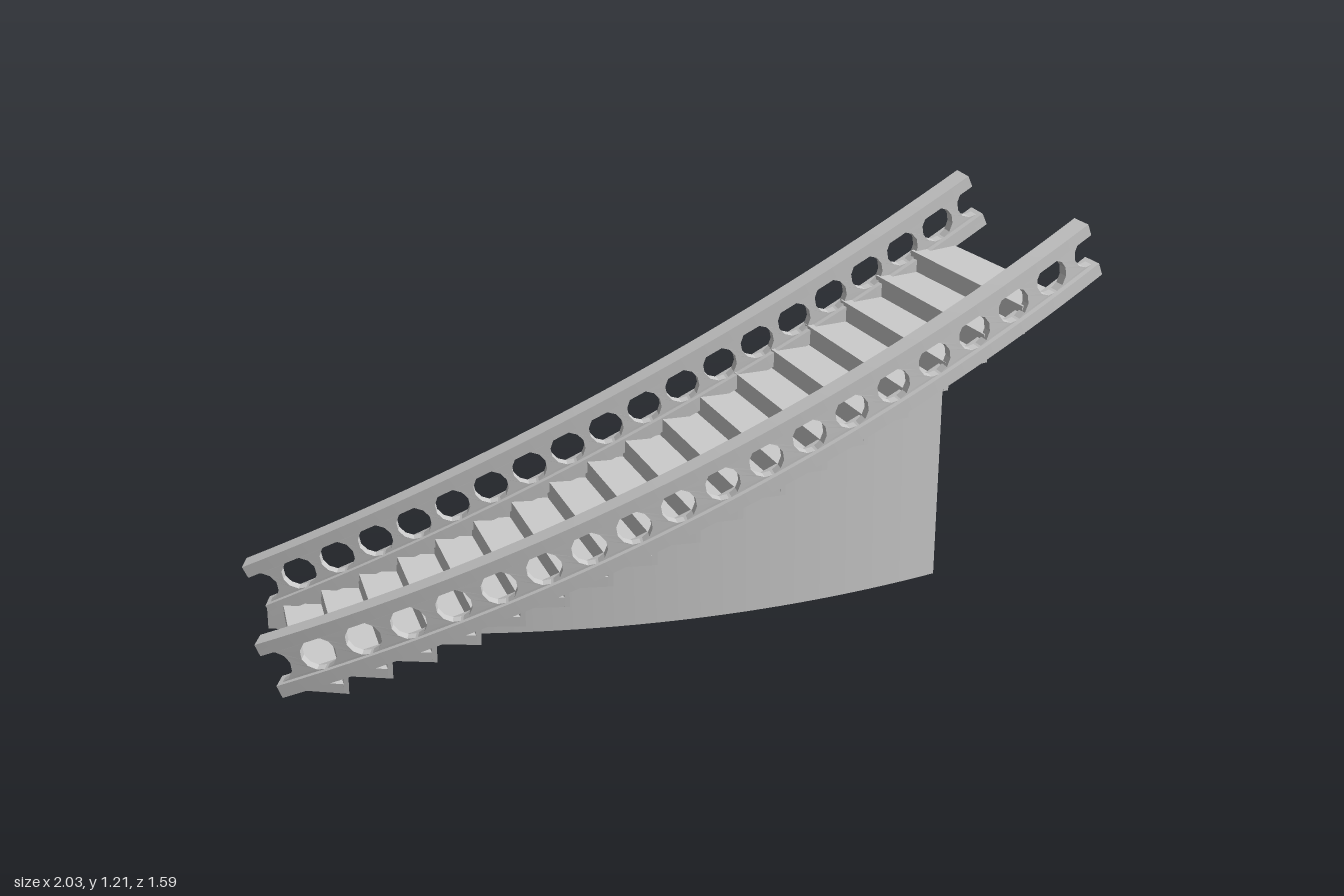
import * as THREE from 'three';
import { toCreasedNormals } from 'three/addons/utils/BufferGeometryUtils.js';

const V = (x, y, z) => new THREE.Vector3(x, y, z);
const STEPS = 18, T0 = 0.03, T1 = 0.96;
const material = new THREE.MeshStandardMaterial({ color: 0xcccccc, side: THREE.DoubleSide });

// Centre lines of the two balustrades
const inner = new THREE.QuadraticBezierCurve3(V(-0.98, 0.15, 0.42), V(-0.005, 0.66, 0.087), V(0.588, 1.13, -0.755));
const outer = new THREE.QuadraticBezierCurve3(V(-0.73, 0.15, 0.755), V(0.4, 0.66, 0.445), V(0.972, 1.13, -0.565));

// Point at t, shifted by v square to the slope and by w sideways (+w toward the outer side)
function along(curve, t, v, w) {
  const tangent = curve.getTangent(t);
  const side = V(-tangent.z, 0, tangent.x).normalize();
  const up = side.clone().cross(tangent).normalize();
  return curve.getPoint(t).addScaledVector(up, v).addScaledVector(side, w);
}

// Skin a four-cornered ring(t) between two values of t and cap both ends
function loft(ring, t0, t1, n) {
  const pos = [], index = [];
  for (let i = 0; i <= n; i++) {
    for (const p of ring(t0 + (t1 - t0) * i / n)) pos.push(p.x, p.y, p.z);
  }
  for (let i = 0; i < n; i++) {
    for (let j = 0; j < 4; j++) {
      const a = i * 4 + j, b = i * 4 + (j + 1) % 4;
      index.push(a, b, a + 4, b, b + 4, a + 4);
    }
  }
  const e = n * 4;
  index.push(0, 2, 1, 0, 3, 2, e, e + 1, e + 2, e, e + 2, e + 3);
  const geo = new THREE.BufferGeometry();
  geo.setAttribute('position', new THREE.Float32BufferAttribute(pos, 3));
  geo.setIndex(index);
  return toCreasedNormals(geo, 0.5);
}

function add(parent, name, geo) {
  const mesh = new THREE.Mesh(geo, material);
  mesh.name = name;
  parent.add(mesh);
}

// Straight-sided beam following a curve
function beam(curve, v0, v1, halfWidth) {
  return loft(t => [
    along(curve, t, v0, -halfWidth), along(curve, t, v0, halfWidth),
    along(curve, t, v1, halfWidth), along(curve, t, v1, -halfWidth),
  ], 0, 1, 36);
}

// Waisted baluster: round bites on both sides form the row of holes
function baluster(curve, t, pitch) {
  const length = curve.getLength(), half = pitch * length / 2, r = 0.047, h = 0.055;
  const shape = new THREE.Shape();
  shape.moveTo(-half, -h);
  shape.lineTo(half, -h);
  for (let i = 0; i <= 6; i++) {
    const a = -Math.PI / 2 + Math.PI * i / 6;
    shape.lineTo(half - r * Math.cos(a), r * Math.sin(a));
  }
  shape.lineTo(half, h);
  shape.lineTo(-half, h);
  for (let i = 0; i <= 6; i++) {
    const a = Math.PI / 2 - Math.PI * i / 6;
    shape.lineTo(-half + r * Math.cos(a), r * Math.sin(a));
  }
  const geo = new THREE.ExtrudeGeometry(shape, { depth: 0.024, bevelEnabled: false });
  const p = geo.attributes.position;
  for (let i = 0; i < p.count; i++) {
    const q = along(curve, t + p.getX(i) / length, p.getY(i), p.getZ(i) - 0.012);
    p.setXYZ(i, q.x, q.y, q.z);
  }
  geo.computeVertexNormals();
  return geo;
}

function balustrade(name, curve) {
  const group = new THREE.Group();
  group.name = name;
  add(group, 'handrail', beam(curve, 0.048, 0.083, 0.026));
  add(group, 'bottomRail', beam(curve, -0.083, -0.046, 0.026));
  const pitch = 0.94 / STEPS;
  for (let i = 0; i <= STEPS; i++) add(group, 'baluster', baluster(curve, 0.03 + i * pitch, pitch));
  return group;
}

// Slab reaching from the inner to the outer side, between two heights
function slab(ta, tb, y0, y1) {
  return loft(t => {
    const a = inner.getPoint(t), b = outer.getPoint(t);
    return [V(a.x, y0, a.z), V(b.x, y0, b.z), V(b.x, y1, b.z), V(a.x, y1, a.z)];
  }, ta, tb, 1);
}

export function createModel() {
  const model = new THREE.Group();
  model.name = 'curvedStaircase';
  model.add(balustrade('innerBalustrade', inner), balustrade('outerBalustrade', outer));

  // Treads with a riser under each front edge
  const stairs = new THREE.Group();
  stairs.name = 'stairs';
  const run = (T1 - T0) / STEPS, rise = 0.9 / (STEPS - 1);
  for (let k = 0; k < STEPS; k++) {
    const t = T0 + k * run, y = 0.113 + k * rise;
    add(stairs, 'tread', slab(t, t + run + 0.006, y - 0.028, y));
    if (k > 0) add(stairs, 'riser', slab(t, t + 0.006, y - rise - 0.028, y - 0.028));
  }
  model.add(stairs);

  // Curved wall carrying the inner side, from the ground up to the bottom rail
  add(model, 'supportWall', loft(t => {
    const foot = 0.03 * (1 - (t - 0.01) / 0.955);
    const top = inner.getPoint(t).y - 0.06;
    return [[-0.012, foot], [0.012, foot], [0.012, top], [-0.012, top]]
      .map(([w, y]) => along(inner, t, 0, w).setY(y));
  }, 0.01, 0.965, 36));
  return model;
}
